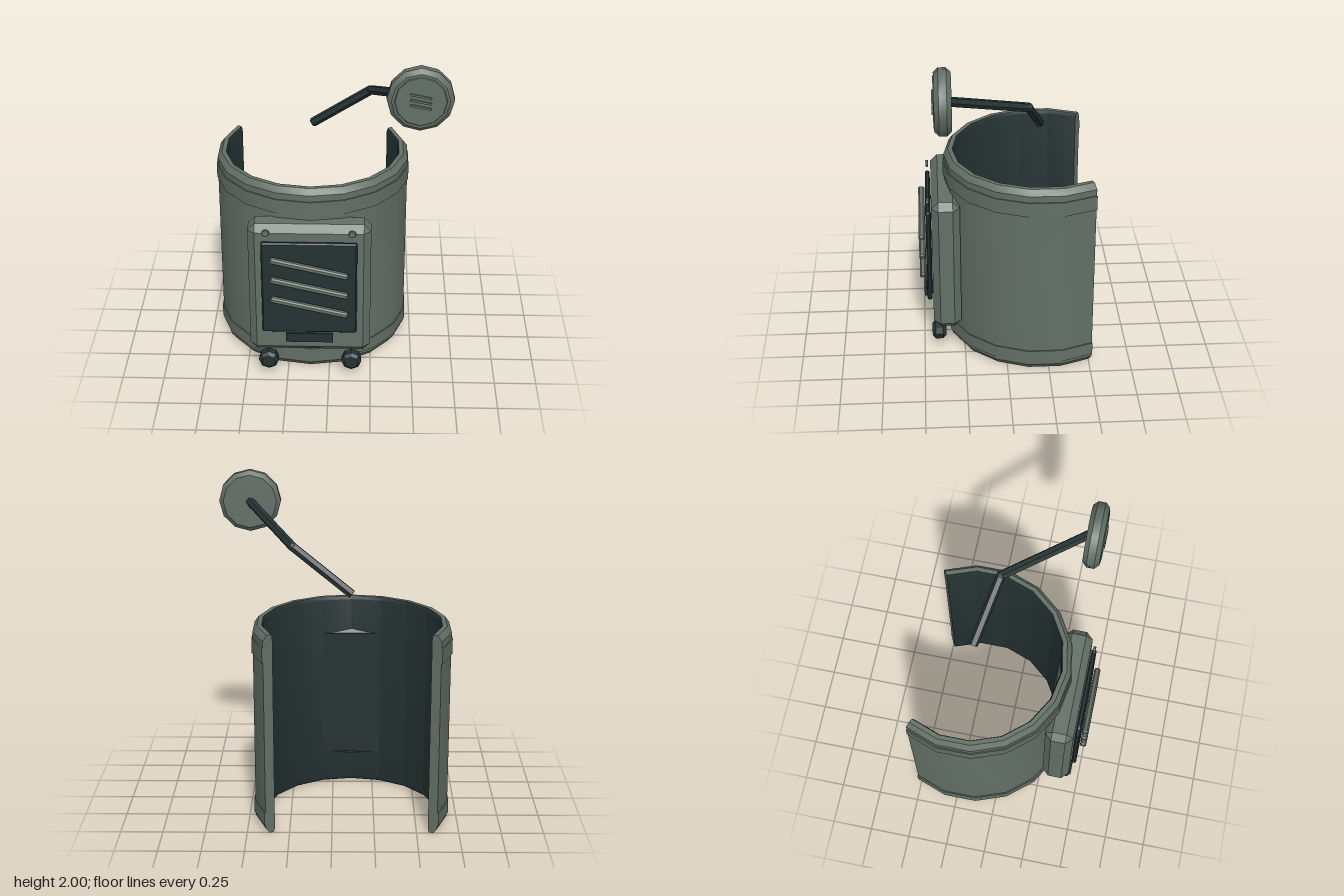
import * as THREE from 'three';
import { toCreasedNormals } from 'three/addons/utils/BufferGeometryUtils.js';
import { ConvexGeometry } from 'three/addons/geometries/ConvexGeometry.js';

const V2 = (p) => new THREE.Vector2(p[0], p[1]);
const V3 = (p) => new THREE.Vector3(p[0], p[1], p[2]);

// Box with every edge cut by c
function chamferBox(w, h, d, c) {
  const pts = [];
  for (const sx of [-1, 1]) for (const sy of [-1, 1]) for (const sz of [-1, 1]) {
    const x = w / 2, y = h / 2, z = d / 2;
    pts.push(V3([sx * x, sy * (y - c), sz * (z - c)]));
    pts.push(V3([sx * (x - c), sy * y, sz * (z - c)]));
    pts.push(V3([sx * (x - c), sy * (y - c), sz * z]));
  }
  return new ConvexGeometry(pts);
}

// Disc facing +z with bevelled rims
function chamferDisc(r, depth, c, sides, crease) {
  const h = depth / 2;
  const profile = [[0, -h], [r - c, -h], [r, c - h], [r, h - c], [r - c, h], [0, h]].map(V2);
  return toCreasedNormals(new THREE.LatheGeometry(profile, sides).rotateX(Math.PI / 2), crease);
}

export function createModel() {
  const grey = new THREE.MeshStandardMaterial({ color: 0x626f66, side: THREE.DoubleSide });
  grey.name = 'grey green metal';
  const dark = new THREE.MeshStandardMaterial({ color: 0x243132, side: THREE.DoubleSide });
  dark.name = 'dark metal';

  const model = new THREE.Group();
  model.name = 'collarDevice';
  const add = (name, geometry, material, pos = [0, 0, 0], parent = model) => {
    const mesh = new THREE.Mesh(geometry, material);
    mesh.name = name;
    mesh.position.set(...pos);
    parent.add(mesh);
    return mesh;
  };

  const cx = -0.115;

  // Open curved shell: 240 degrees, open at the back
  const shell = new THREE.Group();
  shell.name = 'shell';
  shell.position.set(cx, 0, -0.225);
  model.add(shell);
  const half = Math.PI * 2 / 3;
  const outer = [
    [0.53, 0], [0.557, 0], [0.583, 0.035], [0.583, 0.055], [0.59, 0.055], [0.59, 0.135], [0.583, 0.135],
    [0.583, 1.06], [0.59, 1.06], [0.59, 1.15], [0.583, 1.15], [0.583, 1.19], [0.557, 1.225], [0.53, 1.225],
  ];
  const inner = [[0.53, 1.225], [0.522, 1.205], [0.522, 0.02], [0.53, 0]];
  const sweep = (profile) =>
    toCreasedNormals(new THREE.LatheGeometry(profile.map(V2), 12, -half, half * 2), 0.5);
  add('outerWall', sweep(outer), grey, [0, 0, 0], shell);
  add('innerLining', sweep(inner), dark, [0, 0, 0], shell);
  const section = new THREE.Shape([...outer, ...inner.slice(1, 3)].map(V2));
  for (const s of [-1, 1]) {
    add(s < 0 ? 'rightEnd' : 'leftEnd',
      new THREE.ShapeGeometry(section).rotateY(s * half - Math.PI / 2), grey, [0, 0, 0], shell);
  }

  // Front housing and its screen
  add('housing', chamferBox(0.72, 0.865, 0.17, 0.042), grey, [cx, 0.5975, 0.355]);
  add('housingBack', new THREE.BoxGeometry(0.36, 0.79, 0.036), dark, [cx, 0.5975, 0.283]);
  add('screen', chamferBox(0.56, 0.61, 0.03, 0.008), dark, [cx, 0.635, 0.46]);
  add('screenTab', new THREE.BoxGeometry(0.28, 0.06, 0.016), dark, [cx, 0.305, 0.486]);

  // Three slanted grille bars
  for (let i = 0; i < 3; i++) {
    const bar = add('grilleBar', chamferBox(0.47, 0.036, 0.038, 0.009), grey, [cx, 0.79 - i * 0.132, 0.5]);
    bar.rotation.z = -0.23;
  }

  // Studs above and knobs below the screen
  for (const s of [-1, 1]) {
    const x = cx + s * 0.25;
    add('stud', chamferDisc(0.023, 0.016, 0.003, 8, 0.3), grey, [x, 1.003, 0.462]);
    add('knob', chamferDisc(0.06, 0.085, 0.02, 8, 0.3), dark, [x, 0.098, 0.408]);
  }

  // Bent arm
  const path = [[-0.115, 1.385, -0.222], [0.232, 1.645, -0.128], [0.505, 1.815, 0.325]].map(V3);
  for (let i = 0; i < 2; i++) {
    const dir = path[i + 1].clone().sub(path[i]);
    const mid = path[i].clone().add(path[i + 1]).multiplyScalar(0.5);
    const rod = toCreasedNormals(new THREE.CylinderGeometry(0.028, 0.028, dir.length(), 6), 0.3);
    add(i ? 'upperArm' : 'lowerArm', rod, dark, mid.toArray())
      .quaternion.setFromUnitVectors(new THREE.Vector3(0, 1, 0), dir.normalize());
  }
  add('elbow', new THREE.IcosahedronGeometry(0.028, 1), dark, path[1].toArray());

  // Round head at the end of the arm
  const head = new THREE.Group();
  head.name = 'roundHead';
  head.position.set(0.505, 1.815, 0.36);
  model.add(head);
  add('headBody', chamferDisc(0.188, 0.096, 0.026, 12, 0.6), grey, [0, 0, 0], head);
  add('headFace', chamferDisc(0.147, 0.012, 0.004, 12, 0.6), grey, [0, 0, 0.046], head);
  for (let i = -1; i <= 1; i++) {
    const bar = add('headBar', new THREE.BoxGeometry(0.12, 0.012, 0.012), grey, [0, -i * 0.032, 0.054], head);
    bar.rotation.z = -0.2;
  }
  return model;
}
